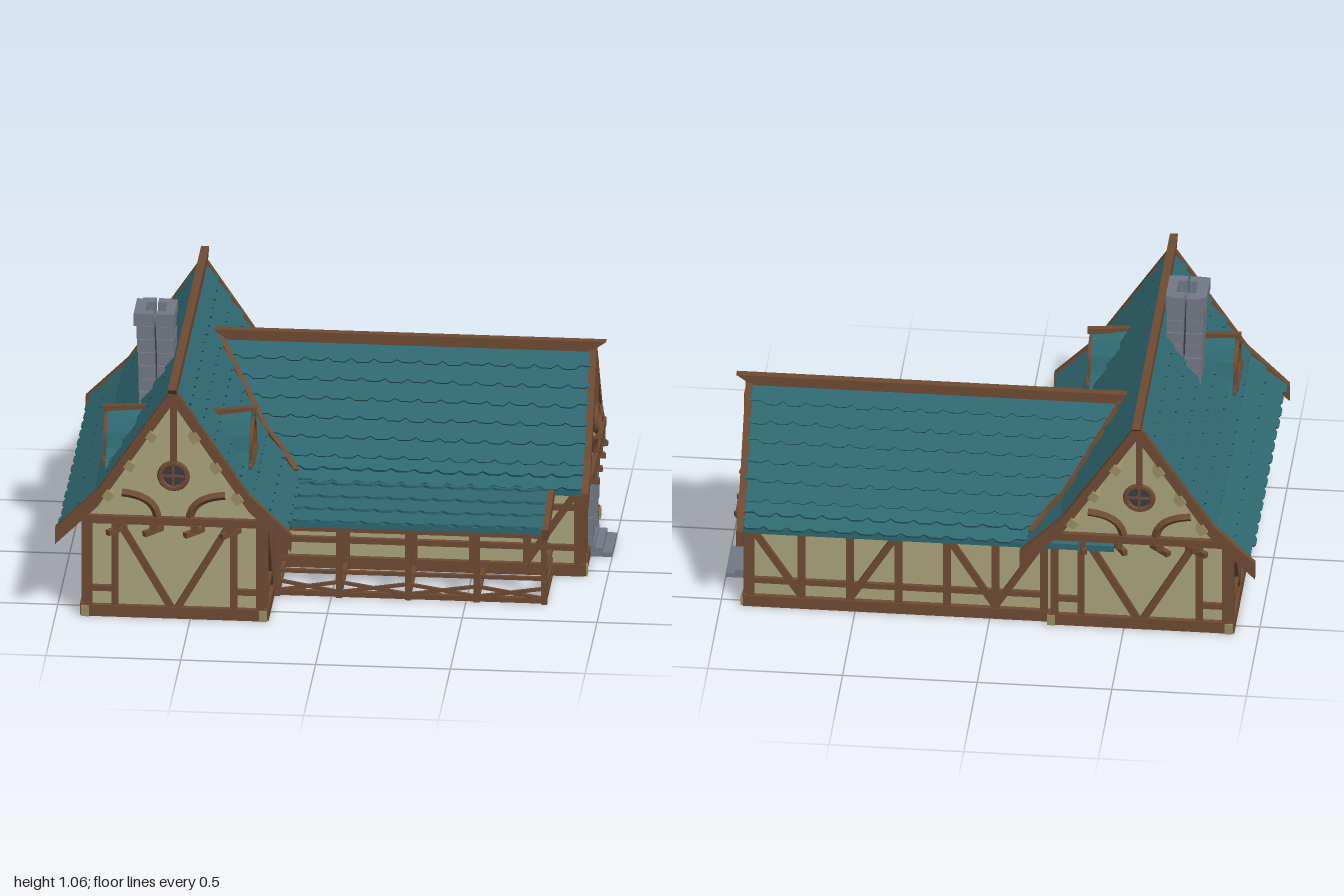
import * as THREE from 'three';

const mat = (color) => new THREE.MeshStandardMaterial({ color, flatShading: true, side: THREE.DoubleSide });
const PLASTER = mat(0xaaa47c), WOOD = mat(0x6e4a32), DOOR = mat(0x85603c), TILE = mat(0x2f6871);
const STONE = mat(0x737985), GLASS = mat(0x3a3c42), PEG = mat(0x9a8d62);

// roof half-profiles as [distance from ridge, height]
const MAIN = [[0, 0.92], [0.28, 0.5], [0.41, 0.37]];
const SIDE = [[0, 0.79], [0.25, 0.43], [0.335, 0.36]];
const RIDGE_X = -0.56, RIDGE_Z = -0.24;

let seed = 7;
const rand = () => (seed = (seed * 16807) % 2147483647) / 2147483647;

function add(parent, name, geo, material, x = 0, y = 0, z = 0) {
  const m = new THREE.Mesh(geo, material);
  m.name = name;
  m.position.set(x, y, z);
  parent.add(m);
  return m;
}
const box = (p, name, w, h, d, x, y, z, material = WOOD) => add(p, name, new THREE.BoxGeometry(w, h, d), material, x, y, z);
const shapeOf = (pts) => new THREE.Shape(pts.map(([x, y]) => new THREE.Vector2(x, y)));
const extrude = (shape, depth) => new THREE.ExtrudeGeometry(shape, { depth, bevelEnabled: false, curveSegments: 8 });
const mirrored = (pts) => [...pts.slice(1).reverse().map(([x, y]) => [-x, y]), ...pts];
const group = (parent, name, x, y, z, rotY = 0) => {
  const g = new THREE.Group();
  g.name = name;
  g.position.set(x, y, z);
  g.rotation.y = rotY;
  parent.add(g);
  return g;
};

// straight timber between two 3D points
function beam(p, name, a, b, w = 0.025, d = w, material = WOOD) {
  const A = new THREE.Vector3(...a), B = new THREE.Vector3(...b);
  const m = add(p, name, new THREE.BoxGeometry(w, d, A.distanceTo(B)), material);
  m.position.copy(A).lerp(B, 0.5);
  m.lookAt(B);
  return m;
}
// timber lying on a wall: x, y in the wall plane
function bar(p, x1, y1, x2, y2, w = 0.028, name = 'timber') {
  const m = box(p, name, w, Math.hypot(x2 - x1, y2 - y1), 0.024, (x1 + x2) / 2, (y1 + y2) / 2, 0.004);
  m.rotation.z = Math.atan2(x1 - x2, y2 - y1);
}

// height on a profile at a distance, and the reverse
const interp = (prof, i, v) => {
  const [a, b] = (i ? v >= prof[1][1] : v <= prof[1][0]) ? prof : prof.slice(1);
  return a[1 - i] + ((v - a[i]) / (b[i] - a[i])) * (b[1 - i] - a[1 - i]);
};
const heightAt = (prof, off) => interp(prof, 0, off);
const offsetAt = (prof, y) => interp(prof, 1, y);

function chevron(prof, t) {
  const low = prof.map(([x, y]) => [x, y - t]);
  return shapeOf([...mirrored(prof), ...mirrored(low).reverse()]);
}
function wallShape(prof, hw, base) {
  const d = 0.03;
  const half = [[0, prof[0][1] - d], [prof[1][0], prof[1][1] - d], [hw, heightAt(prof, hw) - d], [hw, base]];
  return shapeOf(mirrored(half));
}

// scalloped courses on a slope; zStart(y) gives where each course begins
function courses(p, from, to, s, zStart, zEnd, rows, odd) {
  const v = new THREE.Vector3(s * (to[0] - from[0]), to[1] - from[1], 0);
  const step = v.length() / rows;
  v.normalize();
  const u = new THREE.Vector3(0, 0, -s), n = new THREE.Vector3().crossVectors(u, v);
  for (let r = 0; r < rows; r++) {
    const f = r / rows, y = from[1] + (to[1] - from[1]) * f;
    const z0 = zStart(y), z1 = zStart(y + v.y * step), w = 0.085;
    const pts = [[z1, step + 0.012], [zEnd, step + 0.012], [zEnd, 0]];
    const shift = ((r + odd) % 2) * 0.5;
    for (let z = zEnd - w * (0.5 + shift); z > z0 + w * 0.6; z -= w) {
      const j = (rand() - 0.5) * 0.006;
      pts.push([z + 0.5 * w, 0.002], [z + 0.25 * w, -0.011 + j], [z - 0.25 * w, -0.011 + j], [z - 0.5 * w, 0.002]);
    }
    pts.push([z0, 0]);
    const m = add(p, 'tileCourse', extrude(shapeOf(pts.map(([z, t]) => [-s * z, t])), 0.01), TILE);
    m.matrixAutoUpdate = true;
    const tilt = v.clone().multiplyScalar(step).addScaledVector(n, -0.012).normalize();
    m.quaternion.setFromRotationMatrix(new THREE.Matrix4().makeBasis(u, tilt, n.clone().crossVectors(u, tilt)));
    m.position.set(s * (from[0] + (to[0] - from[0]) * f), y, 0).addScaledVector(n, 0.004);
  }
}

// roof with its ridge along local z
function roof(p, prof, zStart, z0, z1, slabZ) {
  add(p, 'roofDeck', extrude(chevron(prof, 0.025), z1 - slabZ), TILE, 0, 0, slabZ);
  for (const s of [-1, 1]) {
    courses(p, prof[2], prof[1], s, zStart, z1, 2, 0);
    courses(p, prof[1], prof[0], s, zStart, z1, 6, 0);
  }
  // ridge beam with raised, tapering ends
  const top = prof[0][1];
  box(p, 'ridgeBeam', 0.03, 0.04, z1 - z0, 0, top + 0.012, (z0 + z1) / 2);
}
function bargeBoard(p, prof, z) {
  const [a, b, c] = prof;
  add(p, 'bargeBoard', extrude(chevron([[0, a[1] + 0.022], [b[0], b[1] + 0.022], [c[0] + 0.027, c[1] - 0.003]], 0.065), 0.026), WOOD, 0, 0, z - 0.013);
}
const ridgeTip = (p, y, z, s) => {
  const m = add(p, 'ridgeTip', extrude(shapeOf([[0, -0.02], [0.06, 0.022], [0, 0.022]]), 0.03), WOOD, 0.015 * s, y + 0.01, z);
  m.rotation.y = -s * Math.PI / 2;
};

function archWindow(p, x, y, w, h, z) {
  const arch = (hw, b, t) => {
    const s = new THREE.Shape();
    s.moveTo(-hw, b).lineTo(hw, b).lineTo(hw, t - hw).absarc(0, t - hw, hw, 0, Math.PI).lineTo(-hw, b);
    return s;
  };
  const g = group(p, 'archedWindow', x, y, z);
  const frame = arch(w / 2, 0, h);
  frame.holes.push(arch(w / 2 - 0.014, 0.014, h - 0.014));
  add(g, 'windowFrame', extrude(frame, 0.02), WOOD);
  add(g, 'glass', extrude(arch(w / 2 - 0.01, 0.01, h - 0.01), 0.006), GLASS);
  box(g, 'mullion', 0.008, h - 0.01, 0.008, 0, h / 2, 0.01);
  box(g, 'glazingBar', w - 0.01, 0.008, 0.008, 0, h * 0.5, 0.01);
  box(g, 'windowSill', w + 0.025, 0.014, 0.03, 0, 0, 0.01);
}

// jettied gable with collar beam, curved braces, brackets and round window
function gable(p, prof, hw, collar, winY, jetty) {
  const g = group(p, 'gable', 0, 0, jetty);
  add(g, 'gablePanel', extrude(wallShape(prof, hw, collar), jetty + 0.01), PLASTER, 0, 0, -jetty - 0.01);
  box(g, 'collarBeam', hw * 2 + 0.02, 0.03, jetty + 0.03, 0, collar, -jetty / 2 + 0.005);
  bar(g, 0, winY + 0.05, 0, prof[0][1] - 0.05, 0.024, 'kingPost');
  for (const s of [-1, 1]) {
    const c = new THREE.QuadraticBezierCurve3(new THREE.Vector3(s * 0.06, collar, 0.004),
      new THREE.Vector3(s * 0.06, collar + 0.095, 0.004), new THREE.Vector3(s * hw * 0.58, collar + 0.105, 0.004));
    add(g, 'curvedBrace', new THREE.TubeGeometry(c, 8, 0.016, 4), WOOD);
    for (const f of [0.23, 0.64]) {
      beam(p, 'bracket', [s * hw * f, collar - 0.09, 0], [s * hw * f, collar - 0.01, jetty + 0.01], 0.02);
      box(p, 'joistEnd', 0.022, 0.025, jetty + 0.04, s * hw * f, collar - 0.025, jetty / 2 + 0.005);
    }
  }
  add(g, 'roundWindowFrame', new THREE.TorusGeometry(0.05, 0.011, 6, 20), WOOD, 0, winY, 0.008);
  add(g, 'roundGlass', new THREE.CylinderGeometry(0.048, 0.048, 0.01, 20), GLASS, 0, winY, 0.003).rotation.x = Math.PI / 2;
  box(g, 'mullion', 0.009, 0.1, 0.012, 0, winY, 0.008);
  box(g, 'glazingBar', 0.1, 0.009, 0.012, 0, winY, 0.008);
}

// posts at given places, sill, rail and alternating diagonals
function timberWall(p, posts, top, diagonals, rail = true) {
  const a = posts[0], b = posts[posts.length - 1];
  box(p, 'sill', b - a + 0.05, 0.045, 0.04, (a + b) / 2, 0.0225, 0);
  bar(p, a, top, b, top, 0.03, 'wallPlate');
  posts.forEach((x) => bar(p, x, 0.02, x, top, 0.028, 'post'));
  if (rail) bar(p, a, 0.11, b, 0.11, 0.022, 'rail');
  diagonals.forEach(([i, up]) => bar(p, posts[i], up ? 0.05 : top, posts[i + 1], up ? top : 0.05, 0.025, 'brace'));
}
// gable-end ground floor
function endFrame(p, hw, top, inner) {
  box(p, 'sill', hw * 2 + 0.03, 0.045, 0.04, 0, 0.0225, 0);
  for (const s of [-1, 1]) {
    bar(p, s * (hw - 0.012), 0, s * (hw - 0.012), top, 0.028, 'cornerPost');
    bar(p, s * inner, 0.03, s * inner, top, 0.026, 'post');
    bar(p, s * inner, 0.11, s * hw, 0.11, 0.022, 'rail');
    box(p, 'cornerBlock', 0.03, 0.042, 0.03, s * hw, 0.021, 0.01, PEG);
  }
}

export function createModel() {
  const root = new THREE.Group();
  root.name = 'house';
  const H = Math.PI / 2;

  // main wing, ridge along z
  const main = group(root, 'mainWing', RIDGE_X, 0, 0);
  add(main, 'walls', extrude(wallShape(MAIN, 0.33, 0.004), 1.12), PLASTER, 0, 0, -0.54);
  roof(main, MAIN, () => -0.645, -0.66, 0.635, -0.645);
  for (const [z, s] of [[0.635, 1], [-0.65, -1]]) {
    bargeBoard(main, MAIN, z);
    ridgeTip(main, 0.92, z + 0.005 * s, s);
    for (const t of [-1, 1]) for (const off of [0.08, 0.16, 0.24]) {
      const m = box(main, 'purlinEnd', 0.034, 0.034, 0.12, t * off, heightAt(MAIN, off) - 0.055, z - s * 0.035, PEG);
      m.rotation.z = -t * 0.98;
    }
    const end = group(main, 'mainGableEnd', 0, 0, s > 0 ? 0.58 : -0.54, s > 0 ? 0 : Math.PI);
    endFrame(end, 0.33, 0.39, 0.22);
    for (const t of [-1, 1]) bar(end, t * 0.21, 0.385, t * 0.012, 0.04, 0.026, 'brace');
    gable(end, MAIN, 0.33, 0.4, 0.58, 0.035);
  }
  const left = group(root, 'leftWall', -0.89, 0, 0, -H);
  timberWall(left, [-0.53, -0.28, 0.31, 0.565], 0.385, [[0, false], [2, true]]);
  for (const z of [-0.18, 0.01, 0.2]) archWindow(left, z, 0.12, 0.085, 0.18, 0);
  const right = group(root, 'mainRightWall', -0.23, 0, 0, H);
  timberWall(right, [-0.565, -0.34, -0.05], 0.385, [[0, false]]);

  // dormers on both slopes
  const bell = [[0, 0.735], [0.04, 0.712], [0.078, 0.665], [0.1, 0.61], [0.125, 0.575], [0.16, 0.555]];
  for (const s of [-1, 1]) {
    const d = group(main, 'dormer', 0, 0, 0.35, s * H);
    add(d, 'dormerRoof', extrude(shapeOf(mirrored(bell)), 0.165), TILE, 0, 0, 0.1);
    archWindow(d, 0, 0.565, 0.17, 0.145, 0.258);
    box(d, 'dormerSill', 0.25, 0.014, 0.025, 0, 0.56, 0.265);
    beam(d, 'dormerRidge', [0, 0.725, 0.1], [0, 0.745, 0.285], 0.022);
  }

  // side wing, ridge along x
  const side = group(root, 'sideWing', 0, 0, RIDGE_Z, H);
  add(side, 'walls', extrude(wallShape(SIDE, 0.28, 0.004), 1.4), PLASTER, 0, 0, -0.5);
  const valley = (y) => RIDGE_X + offsetAt(MAIN, Math.min(Math.max(y, 0.37), 0.9)) - 0.02;
  roof(side, SIDE, valley, -0.48, 0.92, -0.465);
  bargeBoard(side, SIDE, 0.922);
  ridgeTip(side, 0.79, 0.91, 1);
  const at = (y, s) => [RIDGE_X + offsetAt(MAIN, y), y + 0.015, RIDGE_Z + s * offsetAt(SIDE, y)];
  for (const s of [-1, 1]) [[0.785, 0.5], [0.5, 0.43], [0.43, 0.375]].forEach(([a, b]) => beam(root, 'valleyBeam', at(a, s), at(b, s), 0.022));

  const end = group(root, 'sideGableEnd', 0.9, 0, RIDGE_Z, H);
  endFrame(end, 0.28, 0.36, 0.17);
  for (const s of [-1, 1]) bar(end, s * 0.17, 0.35, s * 0.115, 0.22, 0.022, 'brace');
  gable(end, SIDE, 0.28, 0.385, 0.515, 0.025);
  const front = group(root, 'sideFrontWall', 0, 0, 0.04);
  timberWall(front, [-0.2, 0.03, 0.28, 0.5, 0.7, 0.89], 0.34, [[4, true]]);
  bar(front, -0.2, 0.27, 0.89, 0.27, 0.022, 'rail');
  const back = group(root, 'sideBackWall', 0, 0, -0.52, Math.PI);
  timberWall(back, [-0.89, -0.7, -0.52, -0.34, -0.16, 0.02, 0.2], 0.34, [[0, false], [2, true], [4, false], [5, true]]);

  // door with stone surround and steps
  for (let i = 0; i < 5; i++) box(end, 'doorPlank', 0.027, 0.24, 0.015, (i - 2) * 0.029, 0.16, 0.008, DOOR);
  for (const y of [0.09, 0.24]) box(end, 'doorStrap', 0.14, 0.012, 0.006, 0, y, 0.018);
  add(end, 'doorRing', new THREE.TorusGeometry(0.014, 0.004, 5, 12), GLASS, 0, 0.18, 0.02);
  for (const s of [-1, 1]) for (let i = 0; i < 7; i++)
    box(end, 'jambStone', 0.032 + (i % 2) * 0.008, 0.037, 0.035 + rand() * 0.012, s * 0.087, 0.02 + i * 0.039, 0.012, STONE);
  for (let i = 0; i < 4; i++) box(end, 'lintelStone', 0.049, 0.034, 0.04 + rand() * 0.01, (i - 1.5) * 0.051, 0.287, 0.012, STONE);
  [[0.1, 0.017], [0.065, 0.034], [0.035, 0.05]].forEach(([d, h]) => box(end, 'step', 0.2, h, d, 0, h / 2, d / 2, STONE));

  // lean-to porch
  const porch = group(root, 'porch', 0, 0, 0);
  const slope = group(porch, 'porchRoof', 0, 0, 0, H);
  const eave = [-0.35, 0.3], wallEdge = [-0.03, 0.37];
  const deck = shapeOf([eave, wallEdge, [-0.03, 0.35], [-0.35, 0.28]]);
  add(slope, 'porchDeck', extrude(deck, 1.0), TILE, 0, 0, -0.21);
  courses(slope, [0.35, 0.3], [0.03, 0.37], -1, () => -0.21, 0.79, 4, 0);
  beam(porch, 'porchBargeBoard', [0.795, 0.285, 0.36], [0.795, 0.36, 0.03], 0.024, 0.045);
  const xs = [-0.2, 0.03, 0.285, 0.54, 0.79], z = 0.335;
  beam(porch, 'porchPlate', [-0.22, 0.275, z], [0.8, 0.275, z], 0.024);
  beam(porch, 'porchBottomRail', [-0.22, 0.014, z], [0.8, 0.014, z], 0.02);
  const cross = (a, b) => {
    for (const [p, q] of [[0.02, 0.06], [0.06, 0.02]]) beam(porch, 'crossRail', [a[0], p, a[1]], [b[0], q, b[1]], 0.012);
    beam(porch, 'handRail', [a[0], 0.1, a[1]], [b[0], 0.1, b[1]], 0.014);
  };
  xs.forEach((x, i) => {
    box(porch, 'porchPost', 0.022, 0.28, 0.022, x, 0.14, z);
    for (const y of [0.014, 0.275]) beam(porch, 'tieBeam', [x, y, 0.04], [x, y, z], 0.018);
    if (i) cross([xs[i - 1], z], [x, z]);
  });
  cross([0.79, 0.04], [0.79, z]);

  // stone chimney, hollow at the top and leaning a little
  const chimney = group(root, 'chimney', -0.655, 0, 0.145);
  for (let i = 0; i < 8; i++) {
    const h = 0.0525, y = 0.64 + (i + 0.5) * h, cap = i > 6 ? 0.008 : 0, flip = i % 2;
    for (const s of [-1, 1]) {
      const lx = -0.0016 * i, t = 0.036 + rand() * 0.006;
      for (const e of [-1, 1]) {
        box(chimney, 'chimneyStone', t, h - 0.003, 0.07 + cap, lx + s * (0.048 + cap), y, e * 0.036 + flip * 0.004, STONE);
        box(chimney, 'chimneyStone', 0.052, h - 0.003, t, lx + e * 0.03, y, s * (0.054 + cap) + rand() * 0.004, STONE);
      }
    }
  }
  box(chimney, 'flue', 0.08, 0.32, 0.09, -0.006, 0.82, 0, GLASS);
  return root;
}
